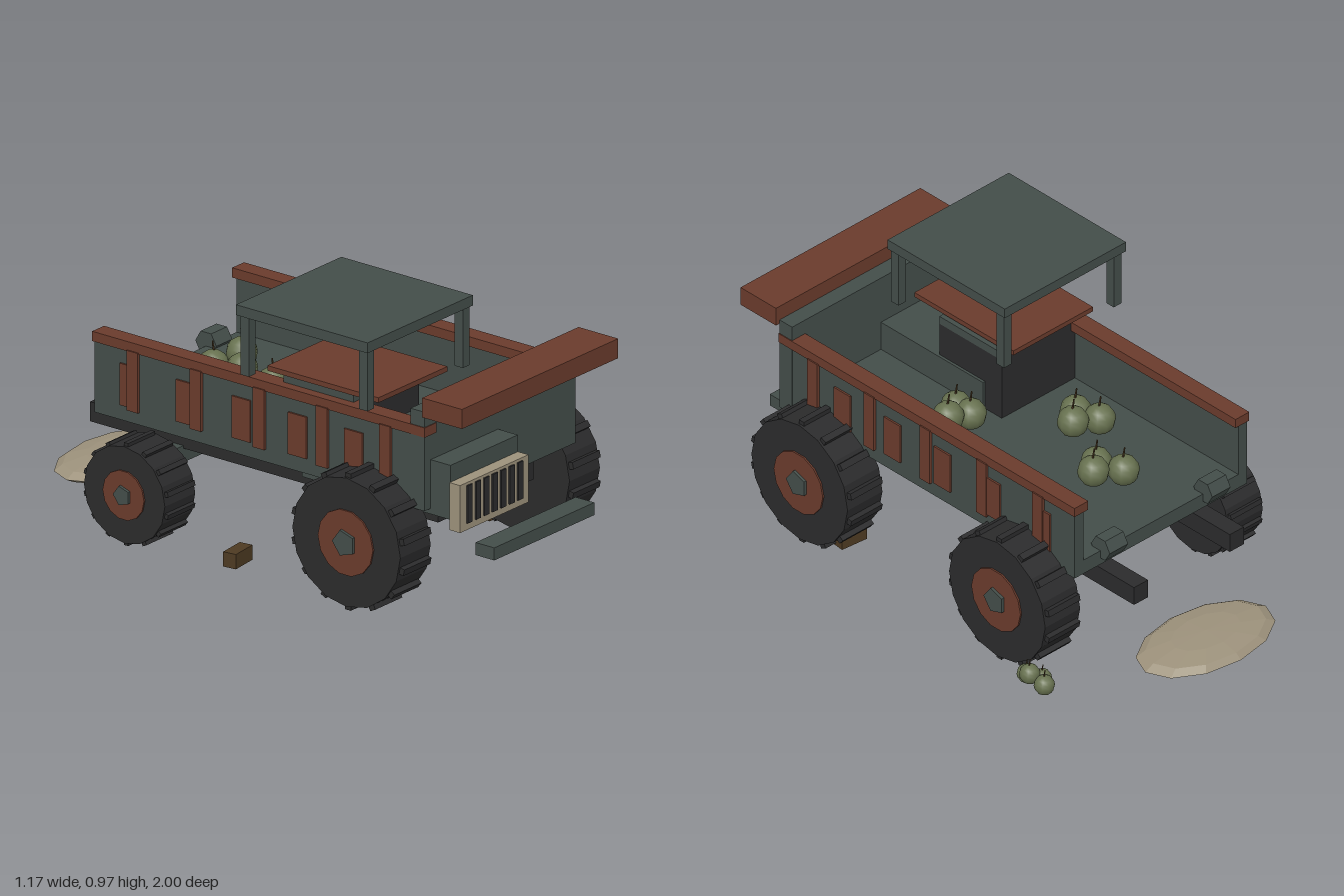
import * as THREE from 'three';

const mat = (name, color, flat = true) => {
  const m = new THREE.MeshStandardMaterial({ color, flatShading: flat });
  m.name = name;
  return m;
};

export function createModel() {
  const steel = mat('greenGreySteel', 0x434d49);
  const rust = mat('rust', 0x6a3b2c);
  const rubber = mat('rubber', 0x2b2b2c);
  const cream = mat('cream', 0x9c917b);
  const fruitGreen = mat('fruitGreen', 0x67714f, false);
  const wood = mat('wood', 0x4d3a22);

  const root = new THREE.Group();
  root.name = 'oldTruck';

  const add = (parent, name, geo, material, x = 0, y = 0, z = 0) => {
    const m = new THREE.Mesh(geo, material);
    m.name = name;
    m.position.set(x, y, z);
    parent.add(m);
    return m;
  };
  // Box given by its extents along each axis
  const box = (name, material, x0, x1, y0, y1, z0, z1) =>
    add(root, name, new THREE.BoxGeometry(x1 - x0, y1 - y0, z1 - z0), material,
      (x0 + x1) / 2, (y0 + y1) / 2, (z0 + z1) / 2);

  const CX = -0.04; // middle line of the truck

  // Bed: floor, front panel, side walls with rails, posts and rust patches
  box('bedFloor', steel, -0.44, 0.36, 0.385, 0.44, -0.615, 0.76);
  box('frontPanel', steel, -0.443, 0.363, 0.375, 0.73, 0.74, 0.8);
  for (const s of [-1, 1]) {
    const side = (name, m, a, b, y0, y1, z0, z1) =>
      box(name, m, CX + Math.min(s * a, s * b), CX + Math.max(s * a, s * b), y0, y1, z0, z1);
    side('sideWall', steel, 0.36, 0.4, 0.387, 0.645, -0.615, 0.79);
    side('topRail', rust, 0.342, 0.406, 0.64, 0.675, -0.62, 0.803);
    for (let i = 0; i < 5; i++) {
      const zp = 0.635 - i * 0.27, zr = 0.497 - i * 0.24;
      side('sidePost', rust, 0.39, 0.411, 0.43, 0.645, zp - 0.024, zp + 0.024);
      side('rustPatch', rust, 0.395, 0.407, 0.44, 0.59, zr - 0.039, zr + 0.039);
    }
    // Chassis beam, mount and tail lamp
    side('chassisBeam', rubber, 0.19, 0.255, 0.275, 0.345, -0.75, 0.74);
    side('chassisMount', rust, 0.19, 0.24, 0.34, 0.39, 0.17, 0.22);
    const lamp = add(root, 'tailLamp', new THREE.CylinderGeometry(0.045, 0.045, 0.085, 6), steel,
      CX + s * 0.238, 0.45, -0.615);
    lamp.rotation.z = Math.PI / 2;
  }

  // Engine housing and grille
  box('engineHousing', steel, -0.41, -0.05, 0.355, 0.55, 0.25, 0.885);
  box('grille', cream, -0.415, -0.05, 0.32, 0.49, 0.885, 0.93);
  for (let i = 0; i < 7; i++) {
    const x = -0.368 + i * 0.045;
    box('grilleSlot', rubber, x - 0.013, x + 0.013, 0.345, 0.48, 0.928, 0.936);
  }

  // Bumpers
  box('upperBumper', rust, -0.455, 0.38, 0.715, 0.785, 0.8, 0.97);
  box('lowerBumper', steel, -0.32, 0.215, 0.21, 0.255, 0.92, 1);

  // Cab: seat, board, roof and its posts
  box('seatBase', rubber, -0.41, -0.06, 0.44, 0.675, 0.17, 0.47);
  box('seatTop', steel, -0.41, -0.06, 0.675, 0.705, 0.17, 0.47);
  box('cabBoard', rust, -0.44, -0.07, 0.714, 0.732, 0.125, 0.6);
  box('roof', steel, -0.545, 0.018, 0.933, 0.97, 0.075, 0.638);
  for (const x of [-0.518, -0.008]) for (const z of [0.105, 0.612])
    box('roofPost', steel, x - 0.018, x + 0.018, 0.72, 0.935, z - 0.018, z + 0.018);

  // Axles
  for (const z of [0.57, -0.38]) box('axle', steel, -0.42, 0.34, 0.225, 0.285, z - 0.03, z + 0.03);

  // Wheels, with the axis along x and the hub facing outwards; one is smaller
  const wheel = (side, z, k) => {
    const g = new THREE.Group();
    g.name = 'wheel';
    const disc = (name, r, depth, sides, material, x) => {
      const m = add(g, name, new THREE.CylinderGeometry(r, r, depth, sides), material, x);
      m.rotation.z = -Math.PI / 2;
    };
    disc('tyre', 0.231, 0.162, 16, rubber, 0);
    disc('rim', 0.118, 0.03, 14, rust, 0.072);
    disc('hub', 0.048, 0.04, 5, steel, 0.078);
    const N = 14;
    for (let i = 0; i < N; i++) {
      const a = (i / N) * Math.PI * 2;
      const t = add(g, 'tread', new THREE.BoxGeometry(0.145, 0.024, 0.024), rubber,
        0, Math.cos(a) * 0.233, Math.sin(a) * 0.233);
      t.rotation.x = a;
    }
    g.position.set(CX + side * 0.452, 0.247 * k, z);
    g.scale.set(1, k, k);
    if (side < 0) g.rotation.y = Math.PI;
    root.add(g);
  };
  wheel(1, 0.57, 1);
  wheel(-1, 0.57, 1);
  wheel(1, -0.38, 1);
  wheel(-1, -0.38, 0.75);

  // Fruit in piles: three in the bed and one on the ground
  const fruit = (x, y, z, r) => {
    add(root, 'fruit', new THREE.SphereGeometry(r, 10, 8), fruitGreen, x, y, z);
    const stem = add(root, 'fruitStem', new THREE.CylinderGeometry(r * 0.05, r * 0.08, r * 0.8, 5), wood,
      x, y + r * 1.2, z);
    stem.rotation.z = 0.2;
  };
  const piles = [
    [[-0.085, -0.39], [0.017, -0.35], [-0.05, -0.295]],
    [[-0.235, -0.12], [-0.135, -0.095], [-0.21, -0.03]],
    [[0.055, 0.2], [0.145, 0.215], [0.06, 0.265]],
  ];
  for (const pile of piles) pile.forEach(([x, z], i) => fruit(x, 0.5 + (i === 1 ? 0.025 : 0), z, 0.055));
  fruit(0.505, 0.05, -0.61, 0.032);
  fruit(0.545, 0.075, -0.59, 0.036);
  fruit(0.53, 0.05, -0.645, 0.036);
  fruit(0.53, 0.055, -0.56, 0.034);

  // Wooden chocks on the ground
  [[-0.495, 0.043, 0.12], [0.385, 0.44, -0.1]].forEach(([x, z, turn]) => {
    add(root, 'woodChock', new THREE.BoxGeometry(0.105, 0.053, 0.05), wood, x, 0.047, z).rotation.y = turn;
  });

  // Flat stone behind the truck
  const stone = add(root, 'flatStone', new THREE.SphereGeometry(1, 12, 6), cream, CX, 0.052, -0.83);
  stone.scale.set(0.28, 0.037, 0.17);

  return root;
}
